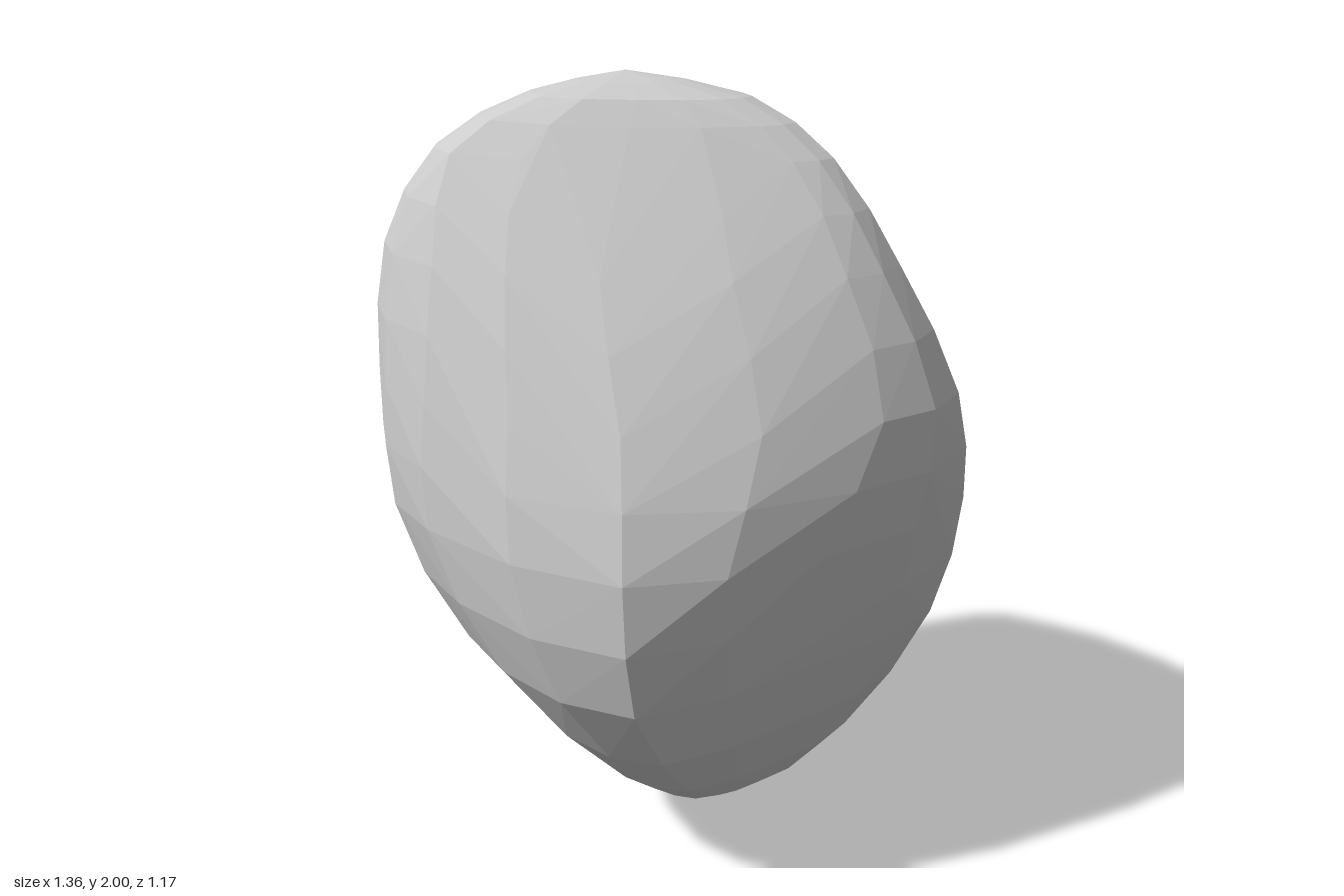
import * as THREE from 'three';
import { ConvexGeometry } from 'three/addons/geometries/ConvexGeometry.js';

// Cross-sections from bottom to top: height, then x, z of eight ridges in order
// front-left, front, front-right, right, back-right, back, back-left, left
const SECTIONS = [
  [0.04, 0.27, 0.03, 0.12, 0.04, 0.03, 0.0, 0.03, -0.06, 0.12, -0.15, 0.24, -0.18, 0.33, -0.14, 0.33, -0.05],
  [0.25, 0.36, 0.21, 0.1, 0.24, -0.17, 0.2, -0.26, 0.05, -0.14, -0.2, 0.17, -0.39, 0.47, -0.35, 0.53, -0.1],
  [0.65, 0.45, 0.41, 0.05, 0.42, -0.45, 0.36, -0.57, 0.0, -0.46, -0.39, -0.12, -0.56, 0.65, -0.47, 0.66, -0.15],
  [1.0, 0.44, 0.5, -0.05, 0.535, -0.49, 0.38, -0.67, -0.14, -0.58, -0.47, 0.0, -0.58, 0.58, -0.47, 0.62, -0.2],
  [1.3, 0.35, 0.54, 0.08, 0.57, -0.43, 0.3, -0.65, -0.15, -0.6, -0.46, -0.08, -0.54, 0.48, -0.43, 0.52, -0.14],
  [1.6, 0.23, 0.45, 0.06, 0.46, -0.37, 0.15, -0.59, -0.18, -0.56, -0.46, -0.15, -0.45, 0.3, -0.29, 0.38, -0.03],
  [1.83, 0.13, 0.33, 0.03, 0.31, -0.26, 0.07, -0.5, -0.23, -0.46, -0.36, -0.19, -0.33, 0.12, -0.16, 0.21, 0.11],
  [1.95, 0.04, 0.16, -0.04, 0.16, -0.19, 0.05, -0.33, -0.12, -0.29, -0.22, -0.15, -0.18, 0.0, -0.08, 0.05, 0.05],
];
const BOTTOM = new THREE.Vector3(0.18, 0, -0.07);
const TOP = new THREE.Vector3(-0.15, 2, -0.05);

export function createModel() {
  const group = new THREE.Group();
  group.name = 'rock';

  // Smooth ridge curves from the bottom point to the top point
  const ridges = [];
  for (let i = 0; i < 8; i++) {
    const pts = SECTIONS.map((s) => new THREE.Vector3(s[1 + 2 * i], s[0], s[2 + 2 * i]));
    ridges.push(new THREE.CatmullRomCurve3([BOTTOM, ...pts, TOP], false, 'centripetal'));
  }

  // Rounded loops around the ridges, wrapped in a faceted hull
  const points = [BOTTOM, TOP];
  const levels = 18;
  for (let j = 1; j < levels; j++) {
    const loop = new THREE.CatmullRomCurve3(ridges.map((r) => r.getPoint(j / levels)), true, 'centripetal');
    for (let k = 0; k < 16; k++) points.push(loop.getPoint(k / 16));
  }

  const stone = new THREE.Mesh(
    new ConvexGeometry(points),
    new THREE.MeshStandardMaterial({ color: 0xcccccc, flatShading: true })
  );
  stone.name = 'stone';
  group.add(stone);
  return group;
}
